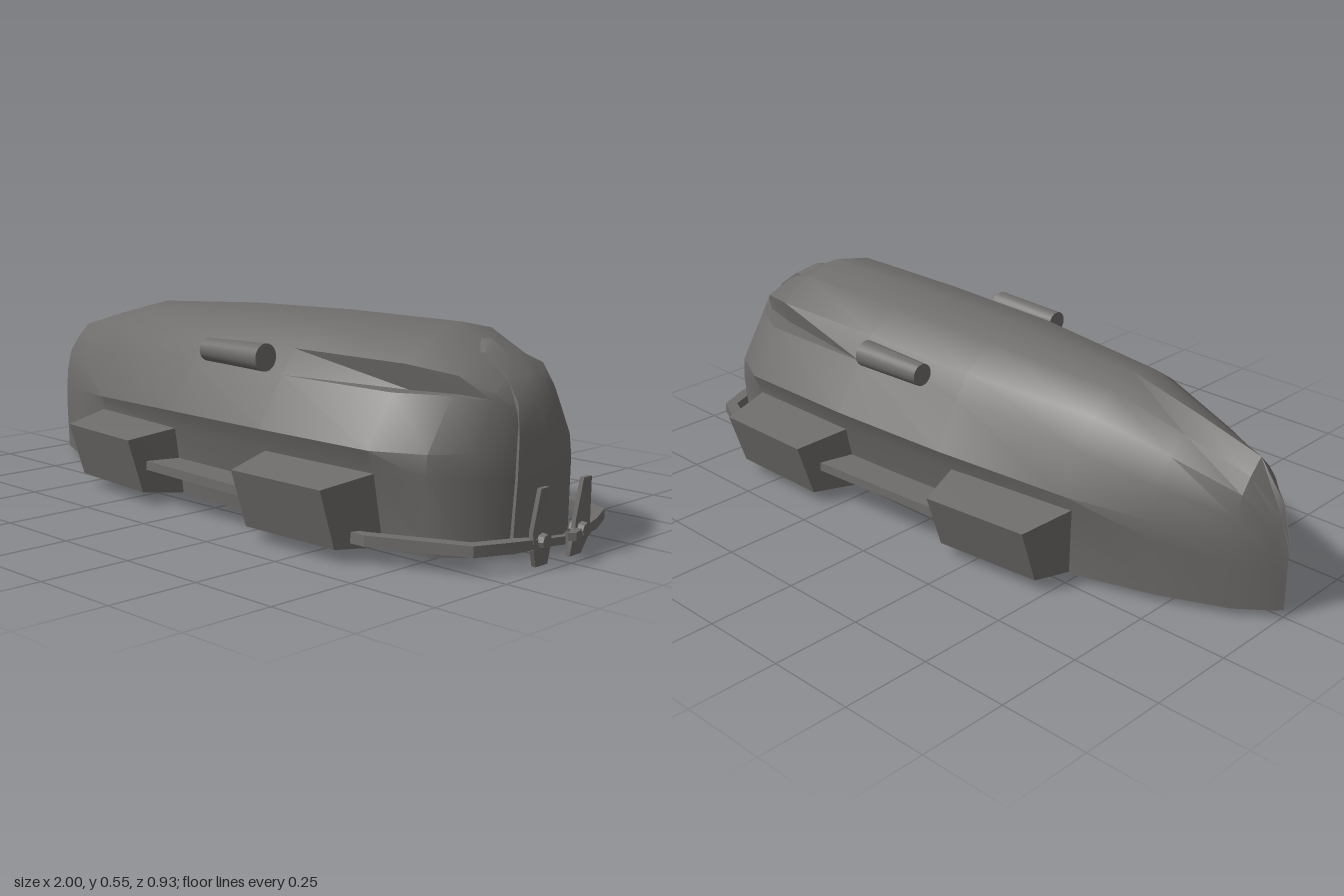
import * as THREE from 'three';
import { toCreasedNormals } from 'three/addons/utils/BufferGeometryUtils.js';

// Skin between closed rings of [x, y, z] points, with both ends capped
function loft(rings) {
  const n = rings[0].length, index = [];
  for (let i = 0; i < rings.length - 1; i++) {
    for (let j = 0; j < n; j++) {
      const a = i * n + j, b = i * n + (j + 1) % n;
      index.push(a, a + n, b, b, a + n, b + n);
    }
  }
  const last = (rings.length - 1) * n;
  for (let j = 1; j < n - 1; j++) {
    index.push(0, j, j + 1, last, last + j + 1, last + j);
  }
  const geo = new THREE.BufferGeometry();
  geo.setAttribute('position', new THREE.Float32BufferAttribute(rings.flat(2), 3));
  geo.setIndex(index);
  return geo;
}

// Reflect a geometry across z = 0, keeping faces outward
function reflect(geo) {
  const copy = geo.clone();
  const p = copy.attributes.position;
  for (let i = 0; i < p.count; i++) p.setZ(i, -p.getZ(i));
  copy.setIndex(Array.from(geo.index.array).reverse());
  return copy;
}

export function createModel() {
  const model = new THREE.Group();
  model.name = 'boat';
  const hullGrey = new THREE.MeshStandardMaterial({ color: 0x6f6d6b });
  hullGrey.name = 'hull grey';

  function add(name, geo, crease = 0.5) {
    const mesh = new THREE.Mesh(toCreasedNormals(geo, crease), hullGrey);
    mesh.name = name;
    model.add(mesh);
  }
  function addPair(name, geo, crease) {
    add(name + 'Front', geo, crease);
    add(name + 'Back', reflect(geo), crease);
  }

  // Hull stations: x, bottom z, chine z y, waist z y, slot edge z y, slot depth z,
  // shoulder z y, roof z y, ridge y
  const bow = [
    [-1, 0, 0, .08, 0, .12, 0, .15, 0, 0, .18, 0, .2, .22],
    [-.975, .025, .025, .12, .025, .16, .022, .21, .022, .018, .25, .01, .28, .31],
    [-.9, .085, .09, .15, .09, .2, .085, .27, .085, .07, .33, .04, .37, .41],
    [-.72, .165, .18, .18, .18, .235, .16, .32, .16, .12, .39, .065, .43, .46],
    [-.5, .235, .24, .205, .255, .25, .21, .37, .21, .165, .445, .09, .495, .515],
    [-.1, .26, .29, .21, .315, .265, .24, .395, .24, .2, .457, .115, .518, .54],
  ];
  const stern = [
    [.27, .275, .315, .21, .34, .27, .255, .4, .255, .21, .465, .12, .525, .55],
    [.65, .28, .315, .21, .34, .27, .255, .4, .195, .21, .465, .12, .525, .55],
    [.78, .265, .28, .21, .275, .27, .19, .4, .16, .165, .445, .09, .475, .49],
    [.85, .195, .2, .21, .19, .27, .125, .39, .125, .115, .405, .07, .43, .44],
    [.89, .1, .1, .2, .09, .25, .075, .33, .075, .065, .35, .035, .375, .385],
    [.905, 0, 0, .2, 0, .23, 0, .25, 0, 0, .27, 0, .285, .3],
  ];
  const hullRings = [...bow, ...stern].map(([x, z1, z2, y2, z3, y3, za, ya, zb, zc, yc, zd, yd, ye]) => {
    const side = [[z1, .02], [z2, y2], [z3, y3], [za, ya], [zb, ya], [zc, yc], [zd, yd]];
    const other = side.slice().reverse().map(([z, y]) => [-z, y]);
    return [[0, .02], ...side, [0, ye], ...other].map(([z, y]) => [x, y, z]);
  });
  add('hull', loft(hullRings), 0.55);

  // Raised spine running down the stern: y, x, half width
  const spine = [
    [.02, .915, .1], [.2, .915, .085], [.3, .912, .078], [.38, .9, .07],
    [.44, .861, .065], [.49, .792, .06], [.515, .747, .012],
  ];
  add('sternSpine', loft(spine.map(([y, x, w]) => [
    [x - .06, y, -w], [x - .015, y, -w], [x, y, 0], [x - .015, y, w], [x - .06, y, w],
  ])), 0.6);

  // Side pods: tapered blocks, inner rectangle to outer rectangle
  function pod(inner, outer) {
    const ring = ([x0, x1, y0, y1, zTop0, zTop1, lean]) => [
      [x0, y0, zTop0 - lean], [x0, y1, zTop0], [x1, y1, zTop1], [x1, y0, zTop1 - lean],
    ];
    return loft([ring(inner), ring(outer)]);
  }
  addPair('forePod', pod([-.515, -.115, .02, .215, .2, .26, .03], [-.475, -.165, .035, .188, .39, .42, .05]), 0.1);
  addPair('aftPod', pod([.262, .655, .02, .215, .28, .28, .03], [.305, .615, .035, .188, .465, .465, .05]), 0.1);

  // Rail joining the two pods
  addPair('sideRail', loft([[-.16, .365], [.31, .395]].map(([x, z]) => [
    [x, .1, .24], [x, .1, z], [x, .125, z], [x, .125, .24],
  ])), 0.1);

  // Bent struts reaching behind the stern
  const strutPath = [[.6, .36], [.66, .36], [.9, .25], [.945, .15], [.972, .07], [.99, .015]];
  addPair('propellerStrut', loft(strutPath.map(([x, z], i) => {
    const w = i > 3 ? .007 : .013, h = i > 3 ? .01 : .014;
    return [[x - w, .06 - h, z - w], [x + w, .06 - h, z + w], [x + w, .06 + h, z + w], [x - w, .06 + h, z - w]];
  })), 0.3);

  // Propellers: hub with a long upper and short lower blade
  const hub = new THREE.CylinderGeometry(.018, .022, .04, 8);
  hub.rotateZ(-Math.PI / 2).translate(.968, .065, .08);
  addPair('propellerHub', hub);
  const blade = (stations) => loft(stations.map(([y, x, z, w]) => [
    [x - .006, y, z - w], [x + .006, y, z - w], [x + .006, y, z + w], [x - .006, y, z + w],
  ]));
  addPair('upperBlade', blade([[.06, .965, .083, .03], [.09, .965, .085, .03], [.195, .975, .085, .016]]), 0.3);
  addPair('lowerBlade', blade([[0, .957, .068, .023], [.045, .965, .078, .033], [.07, .965, .082, .03]]), 0.3);

  // Side barrels with short mounts
  const barrel = new THREE.CylinderGeometry(.037, .031, .225, 20);
  barrel.rotateZ(-Math.PI / 2).translate(.1125, .442, .27);
  addPair('sideBarrel', barrel);
  const mount = new THREE.BoxGeometry(.1, .016, .07);
  mount.translate(.11, .432, .23);
  addPair('barrelMount', mount);

  return model;
}
